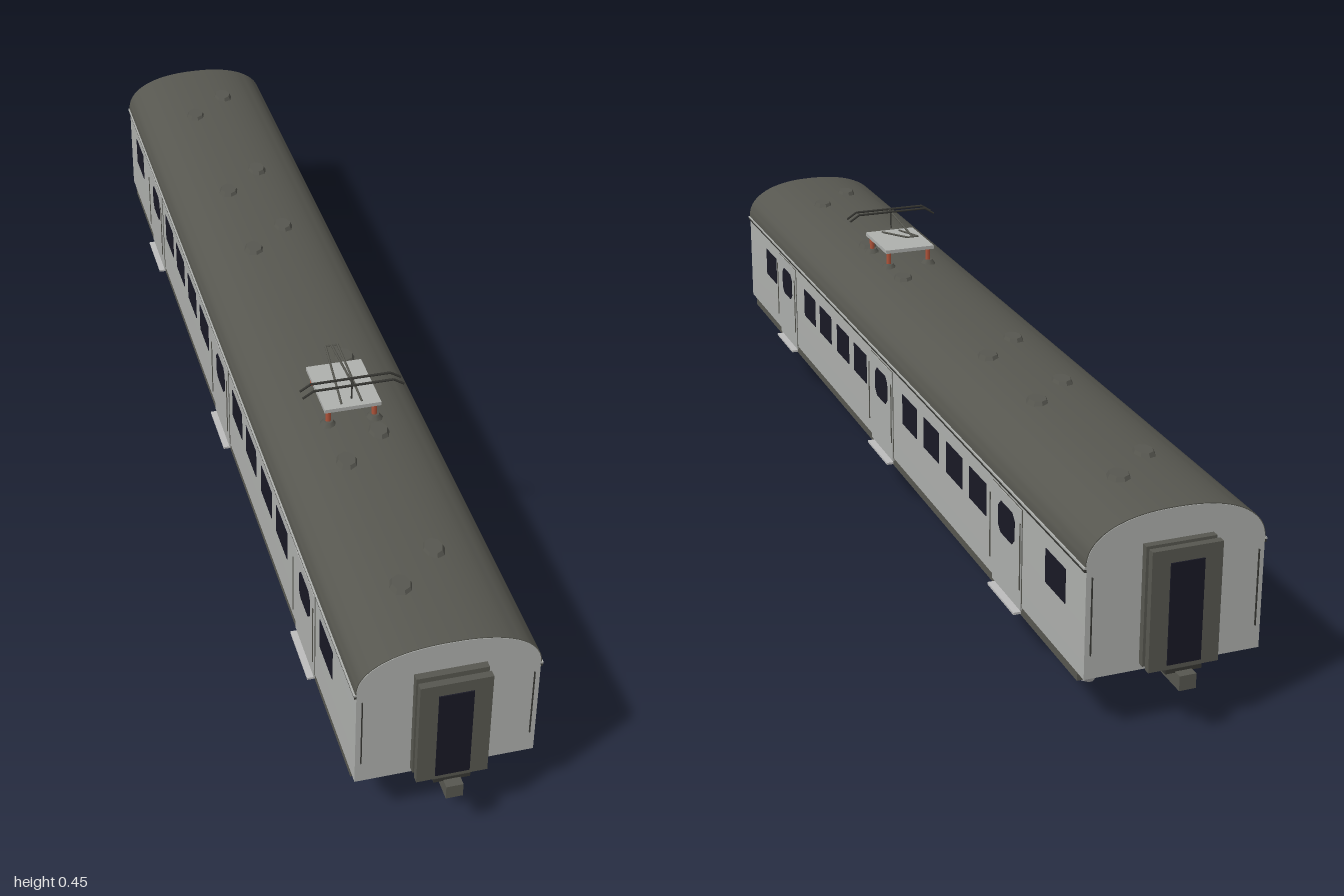
import * as THREE from 'three';
import { toCreasedNormals } from 'three/addons/utils/BufferGeometryUtils.js';

const mat = (name, color) => new THREE.MeshStandardMaterial({ name, color });

export function createModel() {
  const model = new THREE.Group();
  model.name = 'railCar';
  const grey = mat('bodyGrey', 0xaeb0ad);
  const dark = mat('roofDark', 0x575750);
  const black = mat('trimDark', 0x363632);
  const navy = mat('glassNavy', 0x191925);
  const steel = mat('steel', 0xbcbcbc);
  const gold = mat('springGold', 0xcda22c);
  const red = mat('insulatorRed', 0xb0543a);

  const add = (name, geo, m, x = 0, y = 0, z = 0, parent = model) => {
    const mesh = new THREE.Mesh(geo, m);
    mesh.name = name;
    mesh.position.set(x, y, z);
    parent.add(mesh);
    return mesh;
  };
  // Box given by its limits on each axis
  const box = (name, m, [x0, x1], [y0, y1], [z0, z1], parent = model) =>
    add(name, new THREE.BoxGeometry(x1 - x0, y1 - y0, z1 - z0), m,
      (x0 + x1) / 2, (y0 + y1) / 2, (z0 + z1) / 2, parent);
  // Box on both sides of the car
  const sideBoxes = (name, m, [x0, x1], y, z, parent = model) => {
    box(name + 'Left', m, [x0, x1], y, z, parent);
    box(name + 'Right', m, [-x1, -x0], y, z, parent);
  };
  // Round rod between two points
  const rod = (name, m, a, b, r, parent = model) => {
    const p = new THREE.Vector3(...a), q = new THREE.Vector3(...b);
    const mesh = add(name, new THREE.CylinderGeometry(r, r, p.distanceTo(q), 6), m, 0, 0, 0, parent);
    mesh.position.copy(p).add(q).multiplyScalar(0.5);
    mesh.quaternion.setFromUnitVectors(new THREE.Vector3(0, 1, 0), q.sub(p).normalize());
    return mesh;
  };

  // Body and roof share a rounded arch
  const END = 0.947, EAVE = 0.285;
  const arch = (w, h, n = 36) => Array.from({ length: n + 1 }, (_, i) => {
    const t = Math.PI * i / n, c = Math.cos(t), k = 2 / 2.3;
    return new THREE.Vector2(w * Math.sign(c) * Math.abs(c) ** k, EAVE + h * Math.abs(Math.sin(t)) ** k);
  });
  const extrude = (pts, half) => {
    const g = new THREE.ExtrudeGeometry(new THREE.Shape(pts), { depth: 2 * half, bevelEnabled: false });
    g.translate(0, 0, -half);
    return toCreasedNormals(g, 0.6);
  };
  const v = (x, y) => new THREE.Vector2(x, y);
  add('body', extrude([v(-0.147, 0.1), v(0.147, 0.1), ...arch(0.147, 0.0765)], END), grey);
  add('roof', extrude([...arch(0.1485, 0.078), ...arch(0.1465, 0.076).reverse()], END - 0.001), dark);
  sideBoxes('gutter', grey, [0.146, 0.151], [0.284, 0.287], [-END, END]);
  sideBoxes('gutterShadowLine', black, [0.146, 0.15], [0.279, 0.284], [-END, END]);
  sideBoxes('sill', dark, [0.134, 0.146], [0.084, 0.1], [-0.92, 0.92]);

  // Roof vents, slightly longer than wide
  const vents = [[-0.037, -0.746], [0.037, -0.815], [-0.037, -0.42], [0.037, -0.49], [-0.037, -0.196],
    [0.037, -0.265], [0.037, 0.195], [-0.037, 0.487], [0.037, 0.42], [-0.037, 0.805], [0.037, 0.735]];
  const ventGeo = new THREE.CylinderGeometry(0.015, 0.02, 0.01, 8).toNonIndexed();
  ventGeo.scale(1, 1, 1.3);
  ventGeo.computeVertexNormals();
  for (const [x, z] of vents) add('roofVent', ventGeo, dark, x, 0.363, z);

  // Side windows
  for (const z of [0.772, 0.476, 0.364, 0.246, 0.134, -0.157, -0.273, -0.39, -0.503, -0.834])
    sideBoxes('window', navy, [0.1455, 0.148], [0.192, 0.25], [z - 0.039, z + 0.039]);

  // Doors with chamfered windows, handrails and steps
  const pane = [];
  for (const [sx, sy] of [[1, 1], [-1, 1], [-1, -1], [1, -1]]) {
    const a = v(sx * 0.035, sy * 0.017), b = v(sx * 0.024, sy * 0.028);
    pane.push(...(sx * sy > 0 ? [a, b] : [b, a]));
  }
  const paneGeo = new THREE.ExtrudeGeometry(new THREE.Shape(pane), { depth: 0.002, bevelEnabled: false });
  for (const z of [0.64, 0, -0.637]) {
    sideBoxes('doorGap', dark, [0.145, 0.1478], [0.1, 0.272], [z - 0.0635, z + 0.0635]);
    sideBoxes('door', grey, [0.145, 0.149], [0.094, 0.271], [z - 0.062, z + 0.062]);
    for (const s of [-1, 1]) {
      add('doorWindow', paneGeo, navy, s * 0.148, 0.223, z).rotation.y = s * Math.PI / 2;
      sideBoxes('handrail', dark, [0.1515, 0.153], [0.133, 0.25], [z + s * 0.065 - 0.001, z + s * 0.065 + 0.001]);
    }
    sideBoxes('step', steel, [0.134, 0.159], [0.086, 0.09], [z - 0.058, z + 0.058]);
  }

  // Gangway, end door, end handrails and coupler, one set for each end
  for (const s of [1, -1]) {
    const end = new THREE.Group();
    end.name = s > 0 ? 'frontEnd' : 'backEnd';
    end.rotation.y = s > 0 ? 0 : Math.PI;
    model.add(end);
    box('bellows', dark, [-0.046, 0.046], [0.122, 0.302], [0.94, 0.98], end);
    for (const z of [0.955, 0.976])
      box('gangwayFrame', dark, [-0.058, 0.058], [0.113, 0.313], [z - 0.005, z + 0.007], end);
    box('endDoor', navy, [-0.028, 0.028], [0.121, 0.291], [0.978, 0.985], end);
    box('couplerPlate', black, [-0.03, 0.03], [0.106, 0.113], [0.94, 0.984], end);
    box('coupler', dark, [-0.014, 0.014], [0.083, 0.108], [0.93, 1], end);
    sideBoxes('endHandrail', black, [0.137, 0.1385], [0.14, 0.27], [0.946, 0.95], end);
  }

  // Bogies with spoked wheels
  const tyre = [[0.031, -0.006], [0.04, -0.006], [0.043, -0.006], [0.043, -0.003], [0.039, 0.007],
    [0.031, 0.007], [0.031, -0.006]].map(p => v(...p));
  const tyreGeo = toCreasedNormals(new THREE.LatheGeometry(tyre, 28), 0.6).rotateZ(-Math.PI / 2);
  const hubGeo = new THREE.CylinderGeometry(0.017, 0.017, 0.01, 20).rotateZ(Math.PI / 2);
  const spokeGeo = new THREE.BoxGeometry(0.005, 0.064, 0.006);
  for (const zc of [0.671, -0.666]) {
    const bogie = new THREE.Group();
    bogie.name = 'bogie';
    bogie.position.z = zc;
    model.add(bogie);
    box('bogieFrame', dark, [-0.103, 0.103], [0.083, 0.093], [-0.15, 0.15], bogie);
    box('bolster', dark, [-0.08, 0.08], [0.05, 0.084], [-0.065, 0.065], bogie);
    for (const z of [0.118, -0.118]) {
      rod('axle', steel, [-0.075, 0.046, z], [0.075, 0.046, z], 0.007, bogie);
      for (const s of [1, -1]) {
        const tyreMesh = add('wheelTyre', tyreGeo, steel, s * 0.076, 0.043, z, bogie);
        if (s < 0) tyreMesh.rotation.y = Math.PI;
        add('wheelHub', hubGeo, steel, s * 0.076, 0.043, z, bogie);
        for (let i = 0; i < 4; i++)
          add('wheelSpokes', spokeGeo, steel, s * 0.076, 0.043, z, bogie).rotation.x = i * Math.PI / 4;
      }
      sideBoxes('axleBox', dark, [0.086, 0.108], [0.036, 0.059], [z - 0.016, z + 0.016], bogie);
      // Gold spring frame around a dark core
      sideBoxes('springFrame', gold, [0.089, 0.105], [0.059, 0.083], [z - 0.012, z + 0.012], bogie);
      sideBoxes('springCore', dark, [0.093, 0.101], [0.063, 0.079], [z - 0.014, z + 0.014], bogie);
      sideBoxes('springCap', dark, [0.1, 0.1065], [0.063, 0.079], [z - 0.005, z + 0.005], bogie);
    }
  }

  // Underfloor equipment
  box('equipmentBox', dark, [-0.025, 0.055], [0.055, 0.1], [0.26, 0.41]);
  box('equipmentBox', dark, [-0.06, 0.04], [0.053, 0.1], [-0.05, 0.26]);
  box('equipmentPlinth', dark, [-0.05, 0.03], [0.045, 0.055], [0.15, 0.255]);
  box('equipmentBox', dark, [-0.03, 0.067], [0.053, 0.1], [-0.265, -0.09]);
  box('equipmentPlinth', dark, [-0.02, 0.055], [0.046, 0.054], [-0.25, -0.14]);
  box('equipmentPlate', dark, [-0.06, 0.06], [0.078, 0.1], [-0.5, -0.31]);

  // Pantograph: insulators, base, folded arms and contact head
  const panto = new THREE.Group();
  panto.name = 'pantograph';
  model.add(panto);
  for (const x of [-0.041, 0.041]) for (const z of [0.272, 0.378]) {
    add('insulatorFoot', new THREE.CylinderGeometry(0.009, 0.016, 0.01, 8), dark, x, 0.364, z, panto);
    add('insulator', new THREE.CylinderGeometry(0.005, 0.005, 0.026, 8), red, x, 0.381, z, panto);
  }
  box('pantographBase', grey, [-0.05, 0.05], [0.393, 0.4], [0.26, 0.39], panto);
  for (const s of [-1, 1])
    rod('lowerArm', dark, [s * 0.018, 0.4, 0.38], [s * 0.011, 0.428, 0.245], 0.002, panto);
  rod('knee', dark, [-0.012, 0.428, 0.245], [0.012, 0.428, 0.245], 0.0015, panto);
  rod('upperArm', dark, [0, 0.428, 0.245], [0, 0.442, 0.378], 0.002, panto);
  rod('headPost', black, [0, 0.408, 0.378], [0, 0.444, 0.38], 0.0015, panto);
  for (const z of [0.37, 0.39]) {
    rod('contactStrip', black, [-0.07, 0.444, z], [0.07, 0.444, z], 0.0022, panto);
    for (const s of [-1, 1])
      rod('contactHorn', black, [s * 0.07, 0.444, z], [s * 0.089, 0.432, z], 0.002, panto);
  }
  rod('headLink', black, [0, 0.444, 0.37], [0, 0.444, 0.39], 0.002, panto);

  return model;
}
